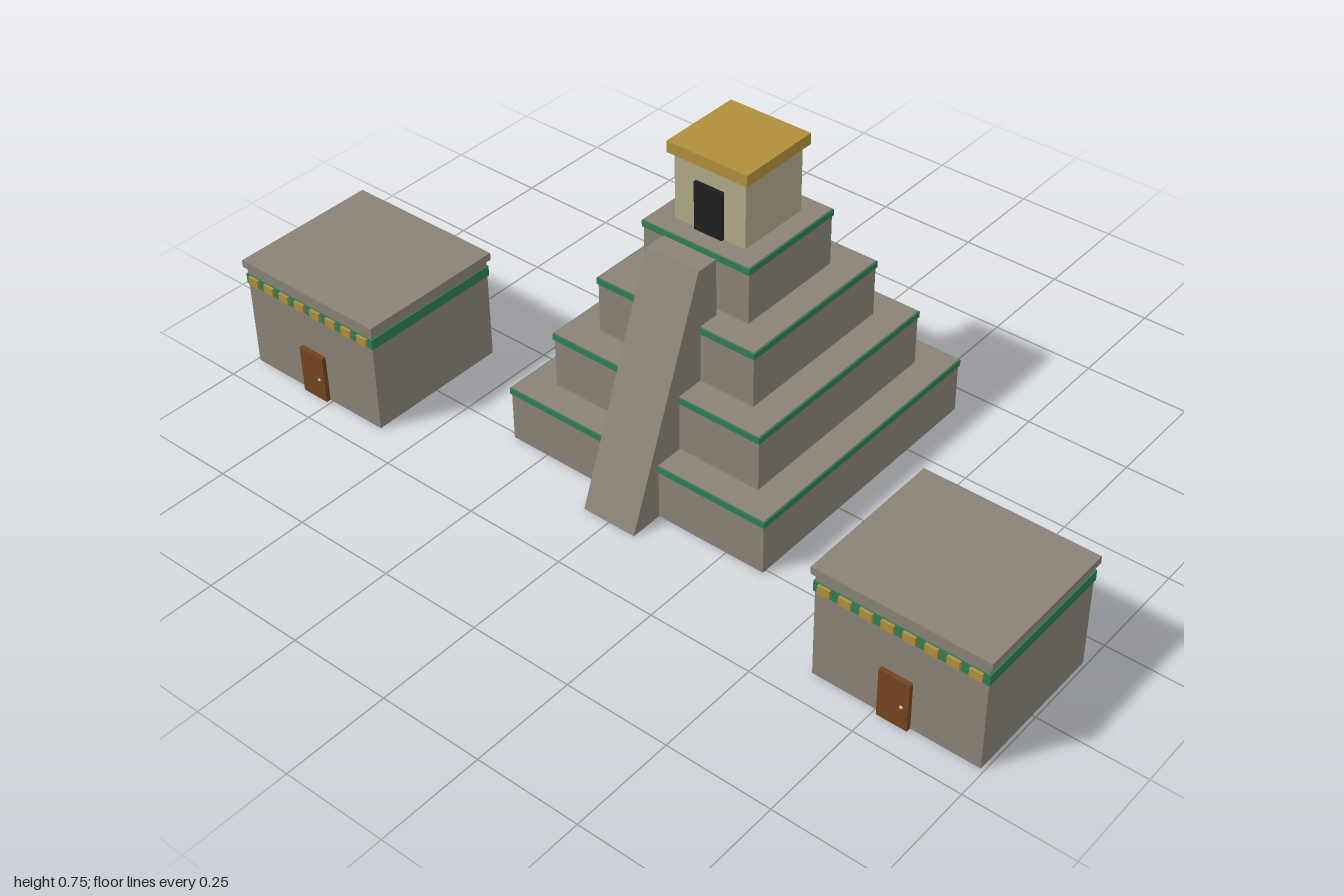
import * as THREE from 'three';

const mat = (name, color) => {
  const m = new THREE.MeshStandardMaterial({ color });
  m.name = name;
  return m;
};

export function createModel() {
  const stone = mat('stone', 0x8a8276);
  const sand = mat('sandstone', 0xb0a888);
  const green = mat('jade green', 0x2e7d57);
  const gold = mat('gold', 0xb08f3c);
  const wood = mat('door wood', 0x74431f);
  const black = mat('dark doorway', 0x1e1e20);
  const metal = mat('knob metal', 0xc8c0b0);

  // box given by its base centre
  const box = (parent, name, material, w, h, d, x, y, z) => {
    const mesh = new THREE.Mesh(new THREE.BoxGeometry(w, h, d), material);
    mesh.position.set(x, y + h / 2, z);
    mesh.name = name;
    parent.add(mesh);
    return mesh;
  };

  const model = new THREE.Group();
  model.name = 'templeComplex';

  // stepped pyramid, each tier with a thin green band under its edge
  const pyramid = new THREE.Group();
  pyramid.name = 'pyramid';
  pyramid.position.z = -0.0865;
  model.add(pyramid);
  const step = 0.1393;
  for (let i = 0; i < 4; i++) {
    const w = 0.694 - i * 0.1385;
    box(pyramid, `tier${i + 1}`, stone, w, step, w, 0, i * step, 0);
    box(pyramid, `tierBand${i + 1}`, green, w + 0.006, 0.015, w + 0.006, 0, (i + 1) * step - 0.017, 0);
  }

  // shrine on the summit
  const top = step * 4;
  box(pyramid, 'shrine', sand, 0.186, 0.162, 0.186, 0, top, 0);
  box(pyramid, 'shrineRoof', gold, 0.209, 0.027, 0.209, 0, top + 0.161, 0);
  box(pyramid, 'shrineDoorway', black, 0.073, 0.116, 0.008, 0, top, 0.0965);

  // stair ramp: side profile (z, y) extruded across x
  const profile = new THREE.Shape([
    [0.06, 0], [0.343, 0], [0.127, top], [0.072, top],
  ].map(([z, y]) => new THREE.Vector2(z, y)));
  const rampGeo = new THREE.ExtrudeGeometry(profile, { depth: 0.138, bevelEnabled: false });
  rampGeo.rotateY(-Math.PI / 2);
  rampGeo.translate(0.069, 0, 0);
  const ramp = new THREE.Mesh(rampGeo, stone);
  ramp.name = 'stairRamp';
  model.add(ramp);

  // a flat-roofed house on each side
  for (const side of [-1, 1]) {
    const house = new THREE.Group();
    house.name = side > 0 ? 'leftHouse' : 'rightHouse';
    house.position.set(side * 0.795, 0, 0.246);
    model.add(house);
    box(house, 'walls', stone, 0.394, 0.262, 0.358, 0, 0, 0);
    box(house, 'roof', stone, 0.409, 0.018, 0.37, 0, 0.261, 0);
    box(house, 'frieze', green, 0.4, 0.026, 0.363, 0, 0.218, 0);
    for (let i = 0; i < 8; i++) {
      box(house, 'friezeTile', gold, 0.029, 0.02, 0.008, (i - 3.5) * 0.0492, 0.223, 0.184);
    }
    box(house, 'door', wood, 0.072, 0.12, 0.012, 0, 0, 0.184);
    const knob = new THREE.Mesh(new THREE.SphereGeometry(0.004, 10, 8), metal);
    knob.name = 'doorKnob';
    knob.position.set(0.02, 0.055, 0.19);
    house.add(knob);
  }
  return model;
}
